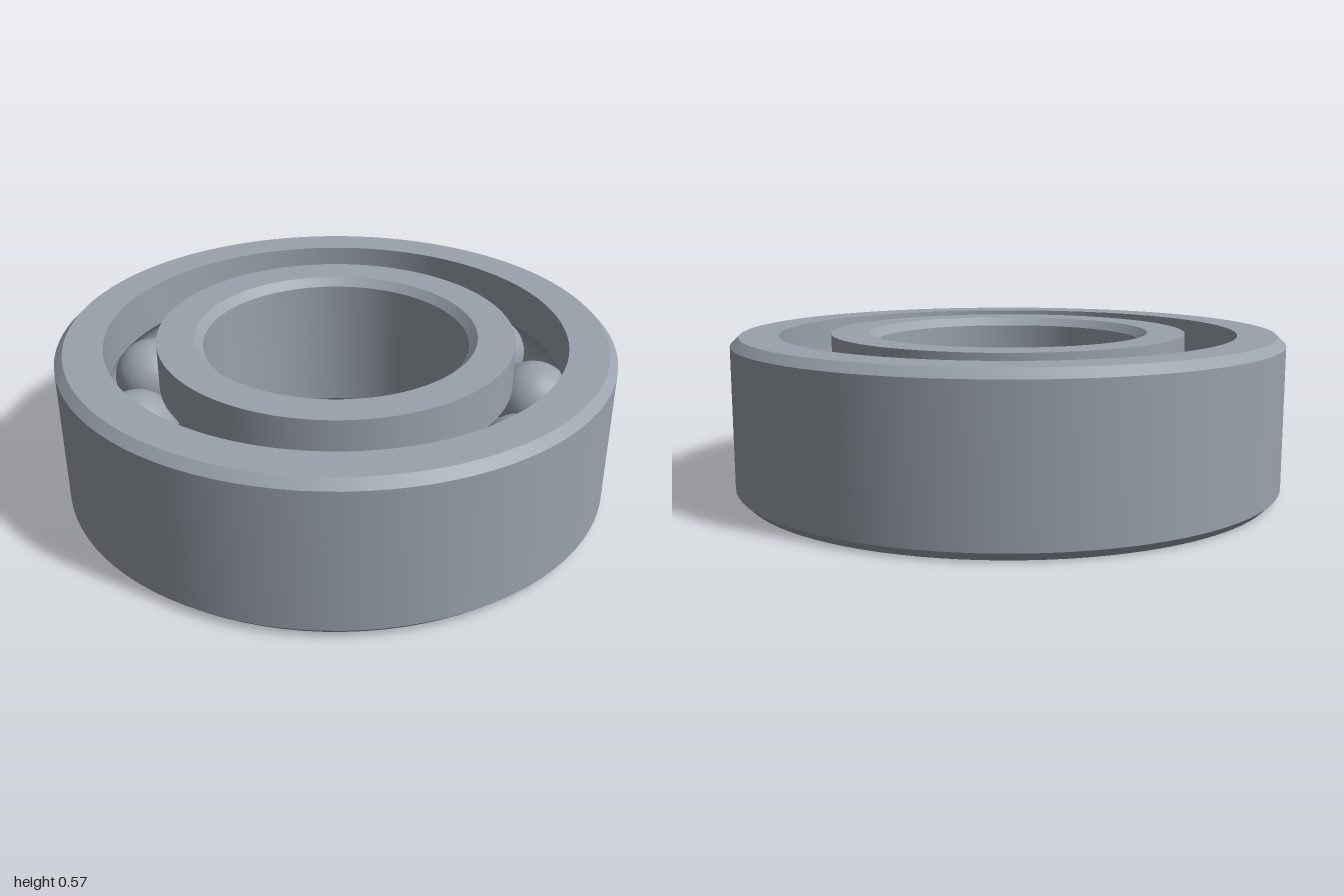
import * as THREE from 'three';
import { toCreasedNormals } from 'three/addons/utils/BufferGeometryUtils.js';

const HEIGHT = 0.57, MID = HEIGHT / 2, CHAMFER = 0.03;
const OUTER_R = 1, OUTER_SHOULDER = 0.83, INNER_SHOULDER = 0.645, BORE_R = 0.48;
const PITCH_R = (OUTER_SHOULDER + INNER_SHOULDER) / 2;
const BALL_R = 0.145, GROOVE_R = 0.147, BALL_COUNT = 11;

// Points along the round ball groove, from one angle to another
function groove(from, to, steps = 14) {
  return Array.from({ length: steps + 1 }, (_, i) => {
    const a = from + (to - from) * i / steps;
    return [PITCH_R + GROOVE_R * Math.cos(a), MID + GROOVE_R * Math.sin(a)];
  });
}

// Closed counter-clockwise profile turned around the y axis, with crisp edges
function ring(name, profile, material) {
  const points = [...profile, profile[0]].map(([r, y]) => new THREE.Vector2(r, y));
  const geometry = toCreasedNormals(new THREE.LatheGeometry(points, 96), 0.5);
  const mesh = new THREE.Mesh(geometry, material);
  mesh.name = name;
  return mesh;
}

export function createModel() {
  const model = new THREE.Group();
  model.name = 'ballBearing';
  const steel = new THREE.MeshStandardMaterial({ color: 0x9aa2ac });
  steel.name = 'steel';

  // Half angle of the groove where it meets the ring shoulders
  const half = Math.acos((OUTER_SHOULDER - PITCH_R) / GROOVE_R);

  // Outer ring: chamfered outside, groove inside
  model.add(ring('outerRing', [
    [OUTER_SHOULDER, 0],
    [OUTER_R - CHAMFER, 0],
    [OUTER_R, CHAMFER],
    [OUTER_R, HEIGHT - CHAMFER],
    [OUTER_R - CHAMFER, HEIGHT],
    [OUTER_SHOULDER, HEIGHT],
    ...groove(half, -half),
  ], steel));

  // Inner ring: groove outside, chamfered bore
  model.add(ring('innerRing', [
    [BORE_R, CHAMFER],
    [BORE_R + CHAMFER, 0],
    [INNER_SHOULDER, 0],
    ...groove(Math.PI + half, Math.PI - half),
    [INNER_SHOULDER, HEIGHT],
    [BORE_R + CHAMFER, HEIGHT],
    [BORE_R, HEIGHT - CHAMFER],
  ], steel));

  // Balls spaced evenly around the groove
  const balls = new THREE.Group();
  balls.name = 'balls';
  const ballGeometry = new THREE.SphereGeometry(BALL_R, 40, 24);
  for (let i = 0; i < BALL_COUNT; i++) {
    const a = THREE.MathUtils.degToRad(12) + i * Math.PI * 2 / BALL_COUNT;
    const ball = new THREE.Mesh(ballGeometry, steel);
    ball.name = 'ball';
    ball.position.set(PITCH_R * Math.cos(a), MID, PITCH_R * Math.sin(a));
    balls.add(ball);
  }
  model.add(balls);

  return model;
}
